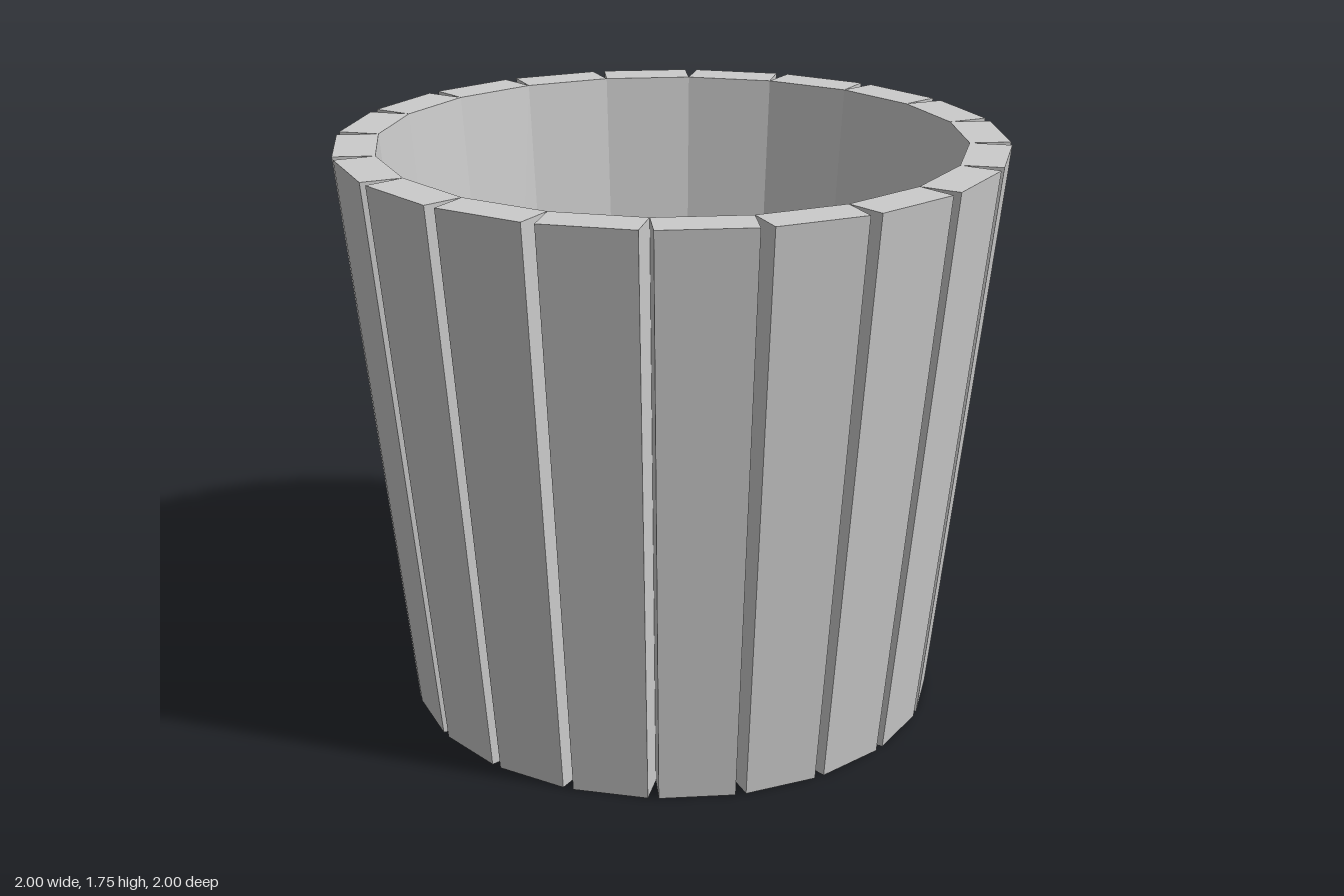
import * as THREE from 'three';

const STAVES = 20;
const HEIGHT = 1.755;
const RADIUS = 0.877;     // inner corner radius at the rim
const THICKNESS = 0.1245; // stave thickness at the rim
const TAPER = 0.815;      // size of the base relative to the rim

// One straight stave, shrunk towards the axis at its foot
function staveGeometry() {
  const half = Math.PI / STAVES;
  const width = 2 * RADIUS * Math.sin(half);
  const geometry = new THREE.BoxGeometry(width, HEIGHT, THICKNESS);
  geometry.translate(0, HEIGHT / 2, RADIUS * Math.cos(half) + THICKNESS / 2);
  const p = geometry.attributes.position;
  for (let i = 0; i < p.count; i++) {
    const s = THREE.MathUtils.lerp(TAPER, 1, p.getY(i) / HEIGHT);
    p.setX(i, p.getX(i) * s);
    p.setZ(i, p.getZ(i) * s);
  }
  geometry.computeVertexNormals();
  return geometry;
}

export function createModel() {
  const model = new THREE.Group();
  model.name = 'bucket';
  const material = new THREE.MeshStandardMaterial({ color: 0xcccccc, flatShading: true });

  // Ring of staves, meeting along their inner edges
  const staves = new THREE.Group();
  staves.name = 'staves';
  const geometry = staveGeometry();
  for (let i = 0; i < STAVES; i++) {
    const stave = new THREE.Mesh(geometry, material);
    stave.name = 'stave';
    stave.rotation.y = ((i + 0.5) / STAVES) * Math.PI * 2;
    staves.add(stave);
  }
  model.add(staves);

  // Thin floor, flush with the underside of the staves
  const floorMaterial = material.clone();
  floorMaterial.side = THREE.DoubleSide;
  const floor = new THREE.Mesh(new THREE.CircleGeometry(RADIUS * TAPER, STAVES), floorMaterial);
  floor.name = 'floor';
  floor.rotation.x = -Math.PI / 2;
  model.add(floor);

  return model;
}
